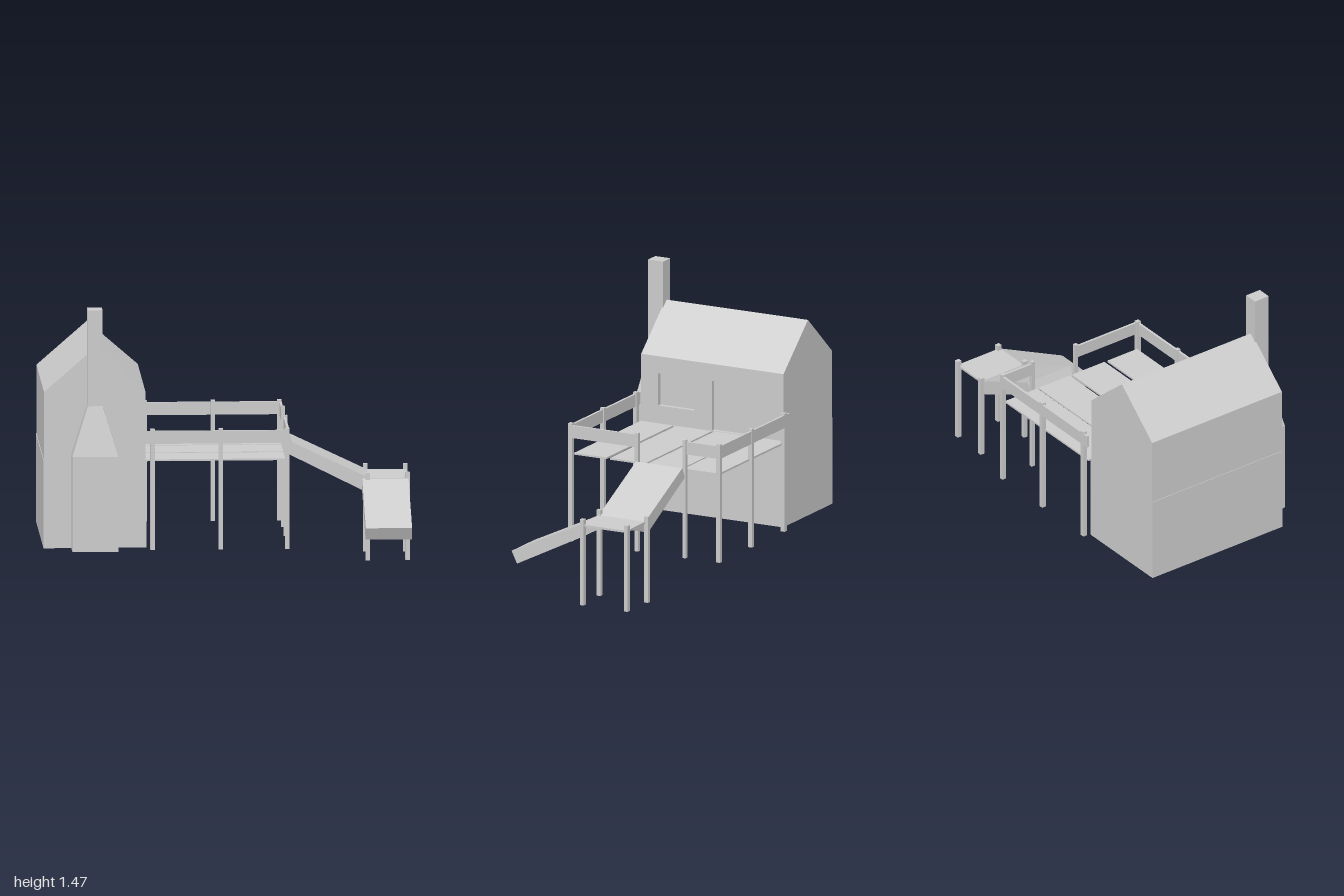
import * as THREE from 'three';

const mat = new THREE.MeshStandardMaterial({ color: 0xcccccc, flatShading: true });

export function createModel() {
  const model = new THREE.Group();

  function add(name, geometry) {
    const mesh = new THREE.Mesh(geometry, mat);
    mesh.name = name;
    model.add(mesh);
    return mesh;
  }

  // Box given by its minimum and maximum on each axis
  function box(name, x0, x1, y0, y1, z0, z1) {
    const mesh = add(name, new THREE.BoxGeometry(x1 - x0, y1 - y0, z1 - z0));
    mesh.position.set((x0 + x1) / 2, (y0 + y1) / 2, (z0 + z1) / 2);
    return mesh;
  }

  function post(name, x, z, y0, y1, size = 0.024) {
    return box(name, x - size / 2, x + size / 2, y0, y1, z - size / 2, z + size / 2);
  }

  function polygon(points) {
    return new THREE.Shape(points.map(([x, y]) => new THREE.Vector2(x, y)));
  }

  function extrude(shape, depth) {
    return new THREE.ExtrudeGeometry(shape, { depth, bevelEnabled: false });
  }

  const zBack = -0.485, zFront = 0.39, floorY = 0.632;

  // House: lower storey, gabled upper storey
  box('lowerStorey', -1, -0.445, 0.15, 0.63, zBack, zFront);
  const gable = polygon([
    [-0.997, 0.63], [-0.475, 0.63], [-0.475, 0.95], [-0.45, 0.95],
    [-0.45, 1.005], [-0.725, 1.243], [-0.997, 1.005],
  ]);
  add('gabledUpperStorey', extrude(gable, zFront - zBack)).position.z = zBack;

  // Deck-side wall with recessed window and door; shape x runs along -z
  const wall = polygon([[-zFront, 0.63], [-zBack, 0.63], [-zBack, 0.95], [-zFront, 0.95]]);
  const openings = [[-0.285, -0.065, 0.73, 0.91], [0.045, 0.265, 0.633, 0.91]];
  for (const [a, b, y0, y1] of openings) {
    wall.holes.push(polygon([[a, y0], [a, y1], [b, y1], [b, y0]]));
  }
  const wallMesh = add('wallWithDoorAndWindow', extrude(wall, 0.025));
  wallMesh.rotation.y = Math.PI / 2;
  wallMesh.position.x = -0.475;

  // Chimney: stacked rectangles with a flat back, [height, half width, front z]
  const sections = [[0.15, 0.125, 0.52], [0.67, 0.125, 0.52], [0.94, 0.04, 0.475], [1.465, 0.04, 0.475]];
  const positions = [], index = [];
  sections.forEach(([y, w, z], i) => {
    const cx = -0.725, back = 0.383;
    positions.push(cx - w, y, z, cx + w, y, z, cx + w, y, back, cx - w, y, back);
    if (i === 0) return;
    for (let k = 0; k < 4; k++) {
      const a = (i - 1) * 4 + k, b = (i - 1) * 4 + (k + 1) % 4;
      index.push(a, b, b + 4, a, b + 4, a + 4);
    }
  });
  const top = (sections.length - 1) * 4;
  index.push(0, 2, 1, 0, 3, 2, top, top + 1, top + 2, top, top + 2, top + 3);
  const chimney = new THREE.BufferGeometry();
  chimney.setAttribute('position', new THREE.Float32BufferAttribute(positions, 3));
  chimney.setIndex(index);
  chimney.computeVertexNormals();
  add('chimney', chimney);

  // Deck planks
  for (const [z0, z1] of [[-0.5, -0.285], [-0.275, -0.065], [-0.05, 0.17], [0.19, 0.39]]) {
    box('deckPlank', -0.445, 0.305, floorY - 0.01, floorY, z0, z1);
  }

  // Deck posts and railings along front and back
  for (const [z, railZ] of [[0.402, 0.404], [-0.507, -0.511]]) {
    for (const x of [-0.412, -0.043, 0.315]) post('deckPost', x, z, 0.14, 0.8);
    box('deckRail', -0.455, 0.328, 0.72, 0.79, railZ - 0.007, railZ + 0.007);
  }

  // Railings beside the ramp opening
  for (const [z0, z1, postZ] of [[-0.515, -0.3, -0.302], [-0.018, 0.41, -0.009]]) {
    box('sideRail', 0.315, 0.328, 0.72, 0.79, z0, z1);
    post('rampPost', 0.325, postZ, 0.14, 0.8, 0.02);
  }

  // Landing on four posts
  box('landing', 0.74, 0.99, 0.438, 0.45, -0.305, -0.02);
  for (const [x, z] of [[0.77, -0.312], [0.985, -0.305], [0.985, -0.035], [0.77, -0.02]]) {
    post('landingPost', x, z, 0, 0.48);
  }

  // Ramps: sloped slabs, profile drawn along the run
  const rampProfile = (x, y) => polygon([
    [x, y], [x - 0.028, y - 0.06], [x + 0.385, y - 0.268], [x + 0.418, y - 0.2],
  ]);
  add('upperRamp', extrude(rampProfile(0.36, 0.65), 0.285)).position.z = -0.305;
  const lower = add('lowerRamp', extrude(rampProfile(-0.018, 0.447), 0.25));
  lower.rotation.y = -Math.PI / 2;
  lower.position.x = 0.99;

  return model;
}
